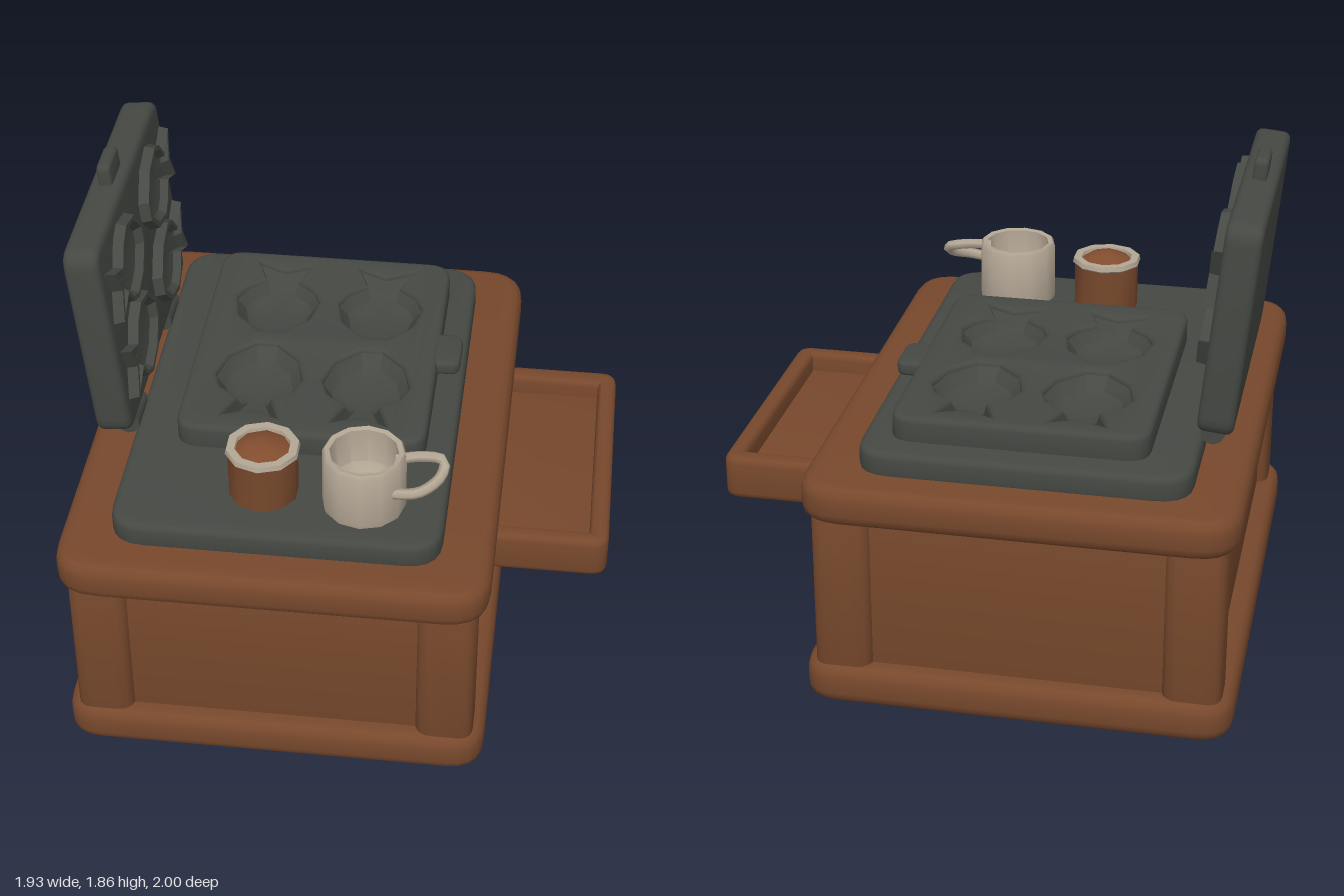
import * as THREE from 'three';
import { toCreasedNormals } from 'three/addons/utils/BufferGeometryUtils.js';

const material = (name, color) =>
  new THREE.MeshStandardMaterial({ name, color, side: THREE.DoubleSide });

function part(parent, name, geometry, mat, crease = 0.75) {
  const mesh = new THREE.Mesh(toCreasedNormals(geometry, crease), mat);
  mesh.name = name;
  parent.add(mesh);
  return mesh;
}

// Rounded rectangular slab lying flat, with soft edges and optional holes given as [x, z] outlines
function slab(x0, x1, z0, z1, y0, y1, radius, bevel, holes = []) {
  const s = new THREE.Shape();
  const a = -z1, b = -z0, r = radius;
  s.moveTo(x0 + r, a);
  s.lineTo(x1 - r, a);
  s.quadraticCurveTo(x1, a, x1, a + r);
  s.lineTo(x1, b - r);
  s.quadraticCurveTo(x1, b, x1 - r, b);
  s.lineTo(x0 + r, b);
  s.quadraticCurveTo(x0, b, x0, b - r);
  s.lineTo(x0, a + r);
  s.quadraticCurveTo(x0, a, x0 + r, a);
  for (const hole of holes) {
    s.holes.push(new THREE.Path(hole.map(([x, z]) => new THREE.Vector2(x, -z))));
  }
  const g = new THREE.ExtrudeGeometry(s, {
    depth: y1 - y0 - 2 * bevel, bevelThickness: bevel, bevelSize: bevel,
    bevelOffset: -bevel, bevelSegments: 3, curveSegments: 5,
  });
  g.rotateX(-Math.PI / 2);
  g.translate(0, y0 + bevel, 0);
  return g;
}

// Fish outline as [x, z] points; the tail points along dir * z
const HALF_FISH = [[-0.22, 0.04], [-0.13, 0.13], [-0.01, 0.16], [0.06, 0.13], [0.12, 0.06], [0.23, 0.105]];
function fishOutline(cx, cz, dir, scale = 1) {
  const pts = [...HALF_FISH, [0.18, 0], ...HALF_FISH.map(([u, v]) => [u, -v]).reverse()]
    .map(([u, v]) => [cx + v * scale, cz + dir * u * scale]);
  return dir < 0 ? pts.reverse() : pts;
}

// Fish-shaped dish made from shrinking loops; levels are [scale, y]
function fishMold(cx, cz, dir, levels) {
  const pos = [], index = [];
  for (const [scale, y] of levels) {
    for (const [x, z] of fishOutline(cx, cz, dir, scale)) pos.push(x, y, z);
  }
  const n = HALF_FISH.length * 2 + 1;
  const last = (levels.length - 1) * n, centre = pos.length / 3;
  pos.push(cx, levels[levels.length - 1][1], cz);
  for (let i = 0; i < n; i++) {
    const j = (i + 1) % n;
    for (let o = 0; o < last; o += n) {
      index.push(o + i, o + n + i, o + j, o + j, o + n + i, o + n + j);
    }
    index.push(last + i, centre, last + j);
  }
  const g = new THREE.BufferGeometry();
  g.setAttribute('position', new THREE.Float32BufferAttribute(pos, 3));
  g.setIndex(index);
  return g;
}

const lathe = (points, sides) =>
  new THREE.LatheGeometry(points.map(([r, y]) => new THREE.Vector2(r, y)), sides);

export function createModel() {
  const root = new THREE.Group();
  root.name = 'fishCakeGrill';
  const wood = material('brown wood', 0x77482c);
  const iron = material('dark iron', 0x454843);
  const cream = material('cream ceramic', 0xb3a694);
  const paste = material('brown filling', 0x824d2f);

  // Cabinet
  const cabinet = new THREE.Group();
  cabinet.name = 'cabinet';
  root.add(cabinet);
  part(cabinet, 'baseSlab', slab(-0.96, 0.57, -0.98, 0.98, 0, 0.15, 0.13, 0.045), wood);
  part(cabinet, 'topSlab', slab(-0.96, 0.57, -1, 1, 0.725, 0.87, 0.16, 0.045), wood);
  part(cabinet, 'recessedPanels', slab(-0.88, 0.49, -0.91, 0.91, 0.1, 0.8, 0.03, 0.01), wood);
  for (const x of [-0.92, 0.32]) {
    for (const z of [-0.95, 0.74]) {
      part(cabinet, 'cornerPost', slab(x, x + 0.21, z, z + 0.21, 0.1, 0.8, 0.06, 0.01), wood);
    }
  }

  // Open drawer on the side
  const drawer = new THREE.Group();
  drawer.name = 'drawer';
  root.add(drawer);
  const opening = [[0.5, -0.47], [0.9, -0.47], [0.9, 0.41], [0.5, 0.41]];
  part(drawer, 'drawerWalls', slab(0.43, 0.97, -0.55, 0.48, 0.555, 0.72, 0.06, 0.025, [opening]), wood);
  part(drawer, 'drawerFloor', slab(0.48, 0.92, -0.49, 0.43, 0.565, 0.645, 0.02, 0.005), wood);

  // Iron plate and griddle with four fish hollows
  const griddle = new THREE.Group();
  griddle.name = 'griddle';
  root.add(griddle);
  part(griddle, 'ironPlate', slab(-0.78, 0.39, -0.86, 0.85, 0.85, 0.955, 0.13, 0.025), iron);
  const places = [];
  for (const x of [-0.36, 0.04]) places.push([x, -0.45, -1], [x, 0.07, 1]);
  part(griddle, 'griddleBlock',
    slab(-0.62, 0.29, -0.75, 0.39, 0.93, 1.045, 0.09, 0.02, places.map((p) => fishOutline(...p))), iron);
  for (const p of places) {
    part(griddle, 'fishHollow', fishMold(...p, [[1.01, 1.027], [0.8, 0.985], [0.5, 0.968]]), iron, 0.5);
  }
  part(griddle, 'griddleTab', slab(0.25, 0.375, -0.29, -0.1, 0.985, 1.04, 0.04, 0.015), iron);

  // Upright lid, modelled flat and then swung open
  const lid = new THREE.Group();
  lid.name = 'lid';
  lid.position.set(-0.89, 1.01, 0);
  lid.rotation.z = -Math.PI / 2 + 0.1;
  root.add(lid);
  part(lid, 'lidSlab', slab(-0.775, 0, -0.645, 0.44, 0, 0.127, 0.07, 0.025), iron);
  part(lid, 'lidHandle', slab(-0.85, -0.72, -0.17, -0.015, 0.04, 0.09, 0.025, 0.012), iron);
  for (const x of [-0.56, -0.23]) {
    for (const [z, dir] of [[0.16, 1], [-0.38, -1]]) {
      part(lid, 'fishRim',
        fishMold(x, z, dir, [[1, 0.12], [0.95, 0.165], [0.84, 0.165], [0.74, 0.137], [0.45, 0.13]]), iron, 0.5);
    }
  }

  // Hinge knuckles
  for (const z of [-0.42, 0.22]) {
    const barrel = new THREE.CylinderGeometry(0.043, 0.043, 0.16, 10).rotateX(Math.PI / 2);
    part(root, 'hinge', barrel, iron).position.set(-0.81, 0.965, z);
  }

  // Tub of filling
  const tub = new THREE.Group();
  tub.name = 'fillingTub';
  tub.position.set(-0.26, 0.95, 0.6);
  root.add(tub);
  part(tub, 'tubBody', new THREE.CylinderGeometry(0.125, 0.125, 0.185, 10).translate(0, 0.0925, 0), wood);
  part(tub, 'tubRim', lathe([[0.122, 0.18], [0.134, 0.19], [0.13, 0.208], [0.1, 0.208], [0.095, 0.18]], 10), cream);
  part(tub, 'fillingHeap', lathe([[0.11, 0.19], [0.06, 0.217], [0, 0.23]], 8), paste);

  // Batter jug with a looped handle
  const jug = new THREE.Group();
  jug.name = 'batterJug';
  jug.position.set(0.1, 0.95, 0.625);
  root.add(jug);
  part(jug, 'jugBody', lathe([[0, 0], [0.145, 0], [0.15, 0.02], [0.148, 0.225], [0.14, 0.237],
    [0.122, 0.233], [0.115, 0.1], [0.09, 0.07], [0, 0.065]], 12), cream);
  const handlePath = new THREE.CatmullRomCurve3([
    [0.11, 0.21, 0.0], [0.2, 0.215, -0.02], [0.275, 0.2, -0.025],
    [0.27, 0.165, 0.02], [0.2, 0.135, 0.08], [0.1, 0.12, 0.08],
  ].map((p) => new THREE.Vector3(...p)));
  part(jug, 'jugHandle', new THREE.TubeGeometry(handlePath, 16, 0.02, 6), cream, 1.1);

  return root;
}
